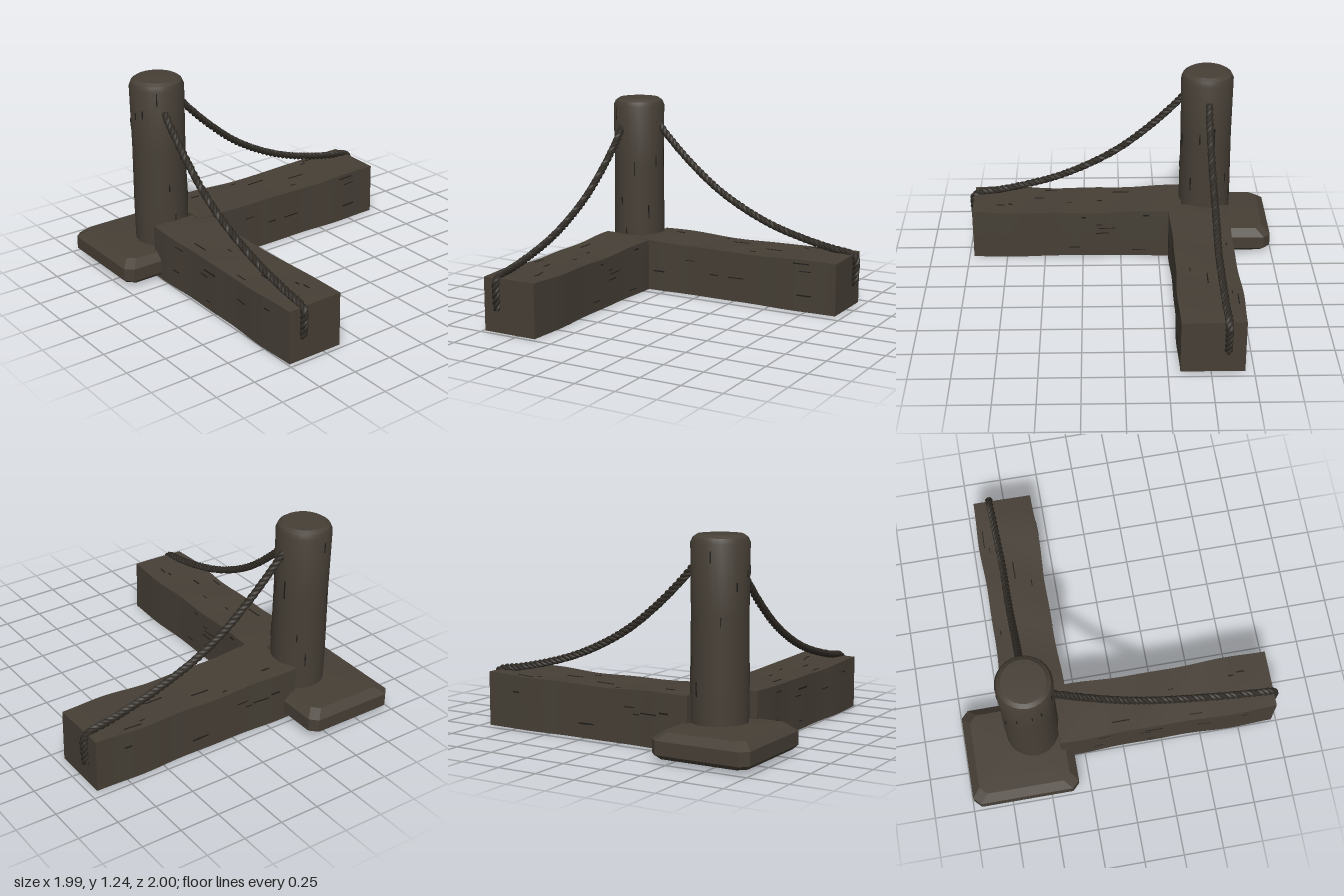
import * as THREE from 'three';
import { toCreasedNormals } from 'three/addons/utils/BufferGeometryUtils.js';

const wood = new THREE.MeshStandardMaterial({ color: 0x463f36 });
wood.name = 'wood';
const bark = new THREE.MeshStandardMaterial({ color: 0x211e1a });
bark.name = 'dark crack';
const hemp = new THREE.MeshStandardMaterial({ color: 0x302b25 });
hemp.name = 'rope';

function seeded(seed) {
  return () => (seed = (seed * 16807) % 2147483647) / 2147483647;
}

function addMesh(parent, name, geometry, material) {
  const mesh = new THREE.Mesh(geometry, material);
  mesh.name = name;
  parent.add(mesh);
  return mesh;
}

// Hand-hewn unevenness: sides swell and shrink along the length
function hew(geometry, width, height) {
  const p = geometry.attributes.position;
  for (let i = 0; i < p.count; i++) {
    const x = p.getX(i), y = p.getY(i), z = p.getZ(i);
    const top = y > 0 ? 0.006 * Math.cos(4.6 * x) + 0.003 * Math.sin(11 * x + 7 * z) : 0;
    const side = 0.005 * Math.sin(6 * x + 1) + 0.003 * Math.sin(13 * x);
    p.setXYZ(i, x, y + top * (y / height) * 2, z + side * (z / width) * 2);
  }
  geometry.computeVertexNormals();
  return geometry;
}

// Beam running along local x from 0 to length, with thin crack plates
function makeBeam(name, length, width, seed) {
  const beam = new THREE.Group();
  beam.name = name;
  const height = 0.325;
  const body = new THREE.BoxGeometry(length, height, width, 28, 4, 4);
  body.translate(length / 2, 0, 0);
  addMesh(beam, 'beamBody', hew(body, width, height), wood);

  const rnd = seeded(seed);
  for (let i = 0; i < 21; i++) {
    const long = 0.03 + 0.09 * rnd(), thin = 0.004 + 0.006 * rnd();
    const x = 0.15 + rnd() * (length - 0.3);
    const across = (rnd() - 0.5) * 0.85;
    const face = i % 3;
    const crack = face === 0
      ? new THREE.BoxGeometry(long, 0.006, thin, 4, 1, 1).translate(x, height / 2, across * width)
      : new THREE.BoxGeometry(long, thin, 0.006, 4, 1, 1)
        .translate(x, across * height, (face === 1 ? 1 : -1) * width / 2);
    addMesh(beam, 'crack', hew(crack, width, height), bark);
  }
  return beam;
}

// Chamfered plinth, hollow underneath: each profile entry is [inset, y]
function makeBase() {
  const hx = 0.305, hz = 0.335, c = 0.045, cx = -0.685, cz = -0.655;
  const profile = [[1, 0.13], [0.11, 0.13], [0.08, 0.03], [0.025, 0.03],
    [0, 0.055], [0, 0.135], [0.05, 0.178], [1, 0.185]];
  const corners = [[1, -1, 0, 1], [1, 1, 0, -1], [1, 1, -1, 0], [-1, 1, 1, 0],
    [-1, 1, 0, -1], [-1, -1, 0, 1], [-1, -1, 1, 0], [1, -1, -1, 0]];
  const pos = [], index = [];
  for (const [inset, y] of profile) {
    for (const [sx, sz, dx, dz] of corners) {
      const k = inset === 1 ? 0 : 1;
      pos.push(cx + k * (sx * (hx - inset) + dx * c), y, cz + k * (sz * (hz - inset) + dz * c));
    }
  }
  for (let j = 0; j < profile.length - 1; j++) {
    for (let i = 0; i < 8; i++) {
      const a = j * 8 + i, b = j * 8 + (i + 1) % 8;
      index.push(a, a + 8, b, b, a + 8, b + 8);
    }
  }
  const g = new THREE.BufferGeometry();
  g.setAttribute('position', new THREE.Float32BufferAttribute(pos, 3));
  g.setIndex(index);
  return toCreasedNormals(g, 0.3);
}

// Round post with worn top edge
function makePost() {
  const profile = [[0, 0.04], [0.165, 0.04], [0.168, 0.4], [0.164, 0.8], [0.168, 1.195],
    [0.155, 1.225], [0.13, 1.242], [0, 1.246]].map(([r, y]) => new THREE.Vector2(r, y));
  return toCreasedNormals(new THREE.LatheGeometry(profile, 24), 0.5);
}

// Three strands twisted around a hanging path
function makeRope(name, points) {
  const rope = new THREE.Group();
  rope.name = name;
  const path = new THREE.CatmullRomCurve3(points);
  const steps = 260, turns = 17;
  const frames = path.computeFrenetFrames(steps, false);
  for (let s = 0; s < 3; s++) {
    const strand = [];
    for (let i = 0; i <= steps; i++) {
      const a = (i / steps) * turns * Math.PI * 2 + s * Math.PI * 2 / 3;
      strand.push(path.getPointAt(i / steps)
        .addScaledVector(frames.normals[i], 0.011 * Math.cos(a))
        .addScaledVector(frames.binormals[i], 0.011 * Math.sin(a)));
    }
    const curve = new THREE.CatmullRomCurve3(strand);
    addMesh(rope, 'strand', new THREE.TubeGeometry(curve, 360, 0.0135, 6), hemp);
  }
  return rope;
}

export function createModel() {
  const model = new THREE.Group();
  model.name = 'postWithRopedBeams';

  addMesh(model, 'base', makeBase(), wood);
  const post = addMesh(model, 'post', makePost(), wood);
  post.position.set(-0.588, 0, -0.556);

  // Upright cracks on the post
  const rnd = seeded(77);
  for (let i = 0; i < 14; i++) {
    const a = i * 2.4, h = 0.04 + 0.08 * rnd();
    const crack = addMesh(post, 'postCrack', new THREE.BoxGeometry(0.007, h, 0.006), bark);
    crack.position.set(0.166 * Math.sin(a), 0.25 + 0.9 * rnd(), 0.166 * Math.cos(a));
    crack.rotation.y = a;
  }

  const sideBeam = makeBeam('sideBeam', 1.41, 0.38, 11);
  sideBeam.position.set(-0.46, 0.172, -0.51);
  const frontBeam = makeBeam('frontBeam', 1.37, 0.36, 29);
  frontBeam.position.set(-0.56, 0.171, -0.4);
  frontBeam.rotation.y = -Math.PI / 2;
  model.add(sideBeam, frontBeam);

  // Rope sag as [distance, height, drift], ending over the beam end
  const sag = [[-0.44, 1.08, 0], [-0.37, 1.0, 0], [-0.2, 0.835, 0.1], [0, 0.675, 0.3], [0.2, 0.56, 0.4],
    [0.4, 0.475, 0.4], [0.6, 0.415, 0.6], [0.8, 0.37, 0.8], [0.93, 0.348, 1], [0.967, 0.32, 1],
    [0.97, 0.25, 1], [0.962, 0.15, 1]];
  model.add(makeRope('sideRope', sag.map(([d, y, k]) =>
    new THREE.Vector3(d, y, -0.56 - 0.035 * k))));
  model.add(makeRope('frontRope', sag.map(([d, y, k]) =>
    new THREE.Vector3(-0.63 - 0.015 * k, y, d + 0.01))));
  return model;
}
